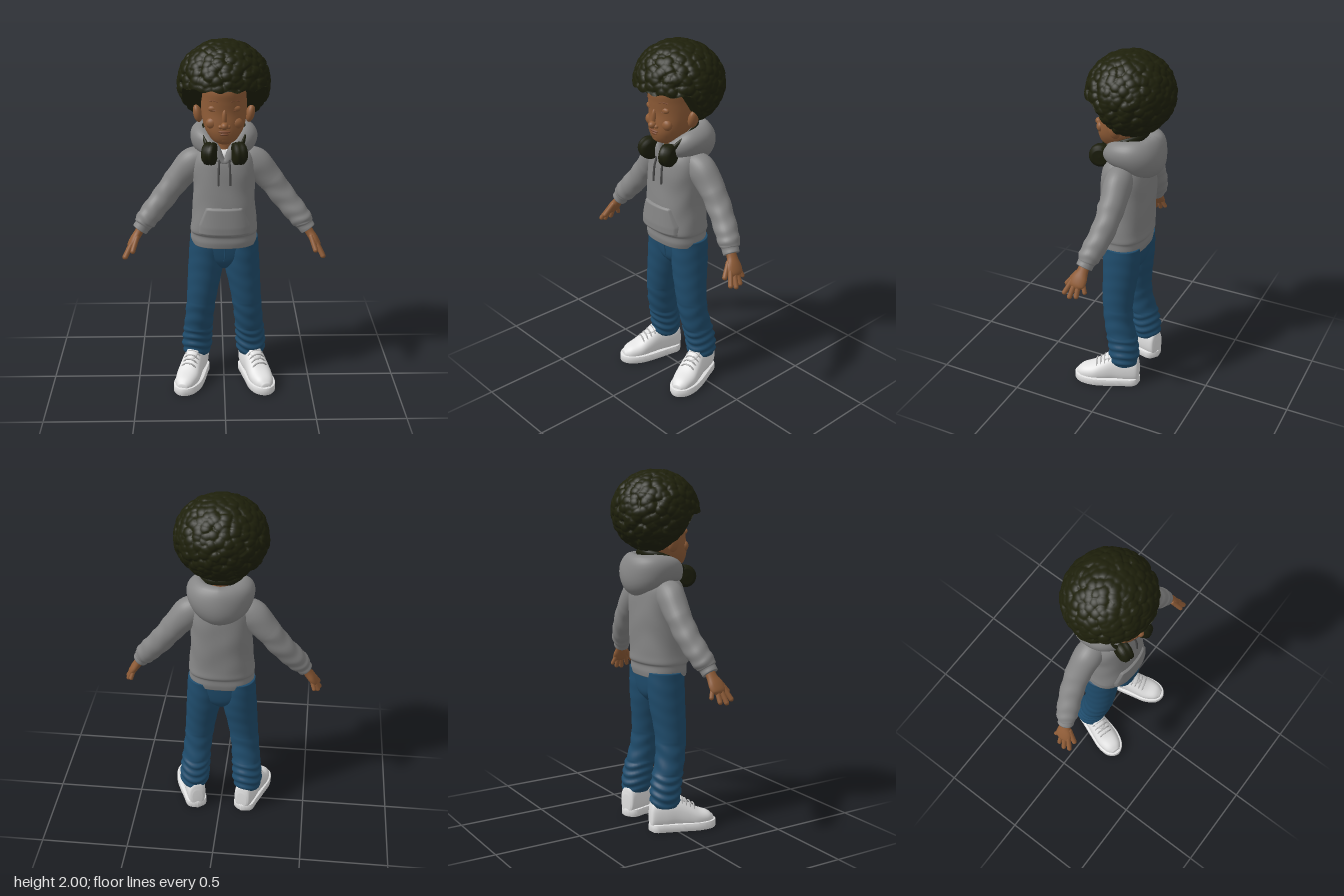
import * as THREE from 'three';
import { mergeVertices, toCreasedNormals } from 'three/addons/utils/BufferGeometryUtils.js';

const mat = (name, color) => Object.assign(new THREE.MeshStandardMaterial({ color }), { name });
const V = (x, y, z) => new THREE.Vector3(x, y, z);
const UP = V(0, 1, 0), FRONT = V(0, 0, 1);

// Skin a path of rings [x, y, z, ru, rv]; u lies along ref, v across it.
function loft(rings, { ref = FRONT, axis = null, bump = null, n = 2, seg = 32, steps = 40, closed = false } = {}) {
  const path = new THREE.CatmullRomCurve3(rings.map(r => V(r[0], r[1], r[2])), closed, 'catmullrom');
  const size = new THREE.CatmullRomCurve3(rings.map(r => V(r[3], r[4], 0)), closed, 'catmullrom');
  const pos = [], idx = [];
  const pw = c => Math.sign(c) * Math.abs(c) ** (2 / n);
  const rows = closed ? steps : steps + 1;
  for (let i = 0; i < rows; i++) {
    const t = i / steps, c = path.getPoint(t), s = size.getPoint(t);
    const d = axis || path.getTangent(t);
    const u = ref.clone().addScaledVector(d, -ref.dot(d)).normalize();
    const v = d.clone().cross(u);
    for (let j = 0; j < seg; j++) {
      const a = j / seg * Math.PI * 2, k = bump ? bump(c, a, t) : 1;
      const p = c.clone().addScaledVector(u, s.x * k * pw(Math.cos(a))).addScaledVector(v, s.y * k * pw(Math.sin(a)));
      pos.push(p.x, p.y, p.z);
    }
  }
  for (let i = 0; i < steps; i++) for (let j = 0; j < seg; j++) {
    const i2 = (i + 1) % rows, j2 = (j + 1) % seg;
    const a = i * seg + j, b = i * seg + j2, c = i2 * seg + j, d = i2 * seg + j2;
    idx.push(a, b, c, b, d, c);
  }
  if (!closed) {
    const a = path.getPoint(0), b = path.getPoint(1), k = rows * seg, e = (rows - 1) * seg;
    pos.push(a.x, a.y, a.z, b.x, b.y, b.z);
    for (let j = 0; j < seg; j++) {
      const j2 = (j + 1) % seg;
      idx.push(k, j2, j, k + 1, e + j, e + j2);
    }
  }
  const g = new THREE.BufferGeometry();
  g.setAttribute('position', new THREE.Float32BufferAttribute(pos, 3));
  g.setIndex(idx);
  g.computeVertexNormals();
  return g;
}

// Rings given as [y, cz, rz, rx] for upright bodies
const upright = (list, x = 0) => list.map(([y, cz, rz, rx]) => [x, y, cz, rz, rx]);
const tube = (pts, r) => new THREE.TubeGeometry(new THREE.CatmullRomCurve3(pts.map(p => V(...p))), 20, r, 8);
const mirrorPath = half => [...half, ...half.slice(0, -1).reverse().map(p => [-p[0], ...p.slice(1)])];

// Afro: a ball of rounded curls, lifted clear of the face
function hairGeometry() {
  let seed = 7;
  const rnd = () => (seed = (seed * 16807) % 2147483647) / 2147483647;
  const curls = [];
  for (let i = 0; i < 420; i++) {
    const y = 1 - 2 * (i + 0.5) / 420, a = i * 2.39996 + rnd() * 0.3, r = Math.sqrt(1 - y * y);
    curls.push([V(r * Math.cos(a), y + (rnd() - 0.5) * 0.1, r * Math.sin(a)).normalize(), rnd() * 0.025]);
  }
  let g = new THREE.IcosahedronGeometry(1, 42);
  g.deleteAttribute('uv'); g.deleteAttribute('normal');
  g = mergeVertices(g, 1e-5);
  const p = g.attributes.position, v = V();
  for (let i = 0; i < p.count; i++) {
    v.fromBufferAttribute(p, i);
    let best = 9, lift = 0;
    for (const [c, h] of curls) { const d = c.distanceToSquared(v); if (d < best) { best = d; lift = h; } }
    const k = 0.94 + lift + 0.06 * Math.sqrt(Math.max(0, 1 - best / 0.02));
    const x = v.x * k * 0.25, z = v.z * k * 0.24 - 0.008;
    const low = z > 0.1 ? 1.77 : z > 0.03 ? 1.66 + (z - 0.03) * 1.57 : 1.66 + (z - 0.03) * 1.4;
    p.setXYZ(i, x, Math.max(1.775 + v.y * k * 0.225, low + 0.006 * Math.sin(x * 70)), z);
  }
  g.computeVertexNormals();
  return g;
}

export function createModel() {
  const M = {
    skin: mat('brown skin', 0x8f5c37), hair: mat('black hair', 0x1e200b), grey: mat('grey fleece', 0x868686),
    cord: mat('dark grey cord', 0x4c4c4c), denim: mat('blue denim', 0x1f4c6c), white: mat('white leather', 0xe2e2e2),
    lace: mat('pale grey lace', 0xb4b4b4), black: mat('headphone black', 0x1b1d0c), lip: mat('lip brown', 0x7c4a30),
  };
  const model = new THREE.Group();
  const add = (name, geo, m, parent = model) => {
    const o = new THREE.Mesh(geo, m); o.name = name; parent.add(o); return o;
  };
  const ball = (name, m, p, r, parent) => {
    const o = add(name, new THREE.SphereGeometry(1, 24, 16), m, parent);
    o.position.set(...p); o.scale.set(...r); return o;
  };

  // Head and neck
  add('head', loft(upright([[1.465, 0.095, 0.03, 0.03], [1.485, 0.082, 0.076, 0.065], [1.53, 0.058, 0.116, 0.098],
    [1.58, 0.038, 0.135, 0.116], [1.64, 0.02, 0.147, 0.123], [1.7, 0.008, 0.164, 0.124], [1.76, 0, 0.175, 0.125],
    [1.83, 0, 0.14, 0.11]]), { axis: UP, n: 2.2 }), M.skin);
  add('neck', loft(upright([[1.36, 0.02, 0.07, 0.065], [1.43, 0.02, 0.062, 0.06], [1.53, 0.02, 0.065, 0.065]]), { axis: UP }), M.skin);
  ball('nose', M.skin, [0, 1.58, 0.178], [0.021, 0.02, 0.026]);
  ball('noseBridge', M.skin, [0, 1.62, 0.165], [0.014, 0.045, 0.018]);
  ball('upperLip', M.lip, [0, 1.546, 0.169], [0.034, 0.008, 0.013]);
  ball('lowerLip', M.lip, [0, 1.532, 0.165], [0.028, 0.009, 0.014]);
  ball('chin', M.skin, [0, 1.503, 0.142], [0.036, 0.026, 0.024]);
  add('hair', hairGeometry(), M.hair);

  // Hoodie body with a gathered hem
  const body = [[0.87, 0.015, 0.128, 0.178], [0.9, 0.015, 0.133, 0.184], [0.935, 0.015, 0.133, 0.183], [0.955, 0.017, 0.147, 0.187],
    [1.0, 0.018, 0.148, 0.182], [1.1, 0.012, 0.147, 0.173], [1.2, 0.005, 0.144, 0.17], [1.3, 0.002, 0.138, 0.172],
    [1.37, 0, 0.126, 0.158], [1.41, -0.005, 0.103, 0.125], [1.435, -0.01, 0.06, 0.06]];
  add('hoodieBody', loft(upright(body), { axis: UP, n: 2.4, seg: 48, steps: 80,
    bump: (c, a) => 1 + 0.008 * Math.sin(c.y * 34 + 2 * Math.sin(a * 3)) }), M.grey);
  const chest = (x, y) => {
    const i = Math.max(1, body.findIndex(b => b[0] >= y)), a = body[i - 1], b = body[i], t = (y - a[0]) / (b[0] - a[0]);
    const [cz, rz, rx] = [1, 2, 3].map(k => a[k] + (b[k] - a[k]) * t);
    return cz + rz * Math.max(0, 1 - Math.abs(x / rx) ** 2.4) ** (1 / 2.4);
  };

  // Front pouch pocket, laid over the body with its rim tucked in
  const pocket = new THREE.PlaneGeometry(2, 1, 28, 20), pp = pocket.attributes.position;
  for (let i = 0; i < pp.count; i++) {
    const u = pp.getX(i), w = pp.getY(i) + 0.5, y = 0.95 + w * 0.165;
    const x = u * (w < 0.35 ? 0.145 : 0.145 - (w - 0.35) / 0.65 * 0.045);
    const rim = Math.abs(u) > 0.99 || w < 0.01 || w > 0.99;
    pp.setXYZ(i, x, y, chest(x, y) + (rim ? -0.008 : 0.012));
  }
  pocket.computeVertexNormals();
  add('pouchPocket', pocket, M.grey);

  // Hood lying on the shoulders, and shirt collar
  const hood = mirrorPath([[0, 1.365, 0.112, 0.02, 0.02], [0.06, 1.425, 0.095, 0.045, 0.032], [0.118, 1.463, 0.03, 0.066, 0.05],
    [0.122, 1.467, -0.055, 0.082, 0.06], [0.08, 1.45, -0.115, 0.102, 0.064], [0, 1.435, -0.14, 0.115, 0.066]]).slice(0, -1);
  add('hood', loft(hood, { ref: UP, closed: true, steps: 80, seg: 28,
    bump: (c, a) => 1 + 0.025 * Math.sin(a * 4 + c.x * 22) }), M.grey);
  add('shirtCollar', loft(upright([[1.35, 0.032, 0.085, 0.07], [1.4, 0.032, 0.083, 0.066], [1.425, 0.03, 0.074, 0.062]]), { axis: UP }), M.white);

  // Headphones hung around the neck
  const phones = new THREE.Group(); phones.name = 'headphones'; model.add(phones);
  add('headband', loft(mirrorPath([[0.09, 1.45, 0.125, 0.014, 0.01], [0.112, 1.495, 0.065, 0.016, 0.01],
    [0.105, 1.535, -0.02, 0.018, 0.011], [0.06, 1.55, -0.08, 0.02, 0.012], [0, 1.555, -0.095, 0.02, 0.012]]), { ref: UP, seg: 14, steps: 60 }), M.black, phones);
  const cupProfile = [[0, -0.034], [0.035, -0.036], [0.058, -0.028], [0.062, -0.012], [0.055, -0.004], [0.063, 0.004],
    [0.06, 0.022], [0.045, 0.036], [0.038, 0.032], [0, 0.036]].map(p => new THREE.Vector2(...p));

  // Jeans seat
  add('jeansSeat', loft(upright([[0.72, 0, 0.06, 0.04], [0.76, 0, 0.09, 0.11], [0.81, 0, 0.102, 0.175], [0.9, 0, 0.11, 0.187]]), { axis: UP, n: 2.3 }), M.denim);
  add('flySeam', tube([[0, 0.88, 0.109], [0.004, 0.82, 0.104], [0, 0.775, 0.095]], 0.004), M.denim);

  // Shoe sole outline, toe towards +z
  const outline = new THREE.Shape();
  outline.setFromPoints(new THREE.SplineCurve([[0, 0.1], [0.05, 0.075], [0.062, 0], [0.074, -0.1], [0.074, -0.18], [0.05, -0.25],
    [0, -0.28], [-0.05, -0.25], [-0.07, -0.18], [-0.066, -0.1], [-0.058, 0], [-0.05, 0.075], [0, 0.1]].map(p => new THREE.Vector2(...p))).getPoints(60).slice(0, -1));
  const sole = toCreasedNormals(new THREE.ExtrudeGeometry(outline, { depth: 0.034, bevelSize: 0.006, bevelThickness: 0.006, bevelSegments: 2 }).rotateX(-Math.PI / 2), 0.7);

  for (const s of [1, -1]) {
    const side = s > 0 ? 'left' : 'right';
    const X = list => list.map(([x, ...r]) => [x * s, ...r]);

    // Ears, closed lids, lashes and brows
    ball(side + 'Ear', M.skin, [0.142 * s, 1.61, 0.02], [0.024, 0.05, 0.032]).rotation.z = -0.2 * s;
    ball(side + 'Eyelid', M.skin, [0.056 * s, 1.665, 0.142], [0.03, 0.018, 0.016]);
    ball(side + 'Nostril', M.skin, [0.02 * s, 1.573, 0.168], [0.014, 0.012, 0.016]);
    ball(side + 'Cheek', M.skin, [0.062 * s, 1.585, 0.135], [0.036, 0.032, 0.026]);
    add(side + 'Lash', tube(X([[0.034, 1.66, 0.157], [0.056, 1.656, 0.157], [0.08, 1.661, 0.143]]), 0.0018), M.lip);
    add(side + 'Brow', tube(X([[0.032, 1.704, 0.166], [0.056, 1.711, 0.157], [0.08, 1.705, 0.142]]), 0.003), M.lip);

    // Sleeve with soft folds and a cuff
    add(side + 'Sleeve', loft(X([[0.08, 1.365, -0.01, 0.06, 0.05], [0.165, 1.325, -0.015, 0.076, 0.085], [0.25, 1.235, -0.02, 0.071, 0.073],
      [0.33, 1.13, -0.01, 0.066, 0.067], [0.4, 1.045, 0.013, 0.063, 0.063], [0.44, 0.995, 0.03, 0.058, 0.058],
      [0.452, 0.975, 0.036, 0.047, 0.047], [0.47, 0.95, 0.042, 0.045, 0.045]]), { steps: 70,
      bump: (c, a, t) => 1 + (t > 0.3 && t < 0.85 ? 0.03 : 0.008) * Math.sin(t * 48 + 1.5 * Math.sin(a * 2)) }), M.grey);

    // Hand with spread fingers
    const hand = new THREE.Group(); hand.name = side + 'Hand'; model.add(hand);
    add('palm', loft(X([[0.455, 0.97, 0.04, 0.028, 0.024], [0.48, 0.93, 0.046, 0.032, 0.024], [0.503, 0.895, 0.055, 0.046, 0.024],
      [0.522, 0.865, 0.062, 0.046, 0.02], [0.53, 0.85, 0.064, 0.03, 0.012]]), { seg: 20, steps: 20 }), M.skin, hand);
    [['thumb', [0.485, 0.915, 0.08], [0.507, 0.852, 0.126], 0.014], ['index', [0.515, 0.88, 0.092], [0.548, 0.817, 0.122], 0.0135],
      ['middle', [0.522, 0.87, 0.072], [0.555, 0.803, 0.088], 0.014], ['ring', [0.52, 0.868, 0.05], [0.548, 0.808, 0.052], 0.0135],
      ['little', [0.51, 0.878, 0.03], [0.526, 0.832, 0.012], 0.012]].forEach(([name, a, b, r]) => {
      const p = V(a[0] * s, a[1], a[2]), q = V(b[0] * s, b[1], b[2]), d = q.clone().sub(p);
      const f = add(name, new THREE.CapsuleGeometry(r, d.length(), 6, 12), M.skin, hand);
      f.position.copy(p).addScaledVector(d, 0.5);
      f.quaternion.setFromUnitVectors(UP, d.normalize());
    });

    // Hoodie drawstring
    add(side + 'Drawstring', tube(X([[0.026, 1.385, 0.125], [0.03, 1.33, 0.143], [0.032, 1.24, 0.151]]), 0.006), M.cord);

    // Ear cup, with a pale yoke
    const cup = add(side + 'EarCup', new THREE.LatheGeometry(cupProfile, 32), M.black, phones);
    cup.position.set(0.077 * s, 1.418, 0.137);
    cup.rotation.set(0, 0.3 * s, -Math.PI / 2 * s, 'YXZ');
    add(side + 'Yoke', tube(X([[0.094, 1.482, 0.09], [0.102, 1.5, 0.06], [0.1, 1.515, 0.03]]), 0.01), M.lace, phones);

    // Trouser leg, bunched at the ankle
    add(side + 'TrouserLeg', loft(X([[0.16, 0.145, -0.042, 0.078, 0.074], [0.158, 0.19, -0.04, 0.087, 0.085], [0.155, 0.25, -0.034, 0.087, 0.085],
      [0.15, 0.31, -0.022, 0.088, 0.083], [0.142, 0.4, 0, 0.085, 0.082], [0.131, 0.5, 0.012, 0.087, 0.084], [0.119, 0.6, 0.012, 0.094, 0.09],
      [0.106, 0.7, 0.006, 0.102, 0.098], [0.1, 0.8, 0.002, 0.107, 0.098], [0.096, 0.9, 0, 0.106, 0.095]]), { axis: UP, steps: 110,
      bump: (c, a) => 1 + (c.y < 0.33 ? 0.05 : c.y < 0.5 ? 0.025 : 0.007) * Math.sin(c.y * (c.y < 0.33 ? 125 : 70) + 1.8 * Math.sin(a * 2 + s)) }), M.denim);

    // Shoe, toed out
    const shoe = new THREE.Group(); shoe.name = side + 'Shoe'; model.add(shoe);
    shoe.position.set(0.162 * s, 0, -0.03); shoe.rotation.y = 0.3 * s;
    add('sole', sole, M.white, shoe).position.y = 0.006;
    add('upper', loft([[0, 0.08, -0.1, 0.05, 0.03], [0, 0.095, -0.085, 0.085, 0.05], [0, 0.1, -0.02, 0.097, 0.058], [0, 0.1, 0.05, 0.092, 0.061],
      [0, 0.08, 0.115, 0.075, 0.066], [0, 0.06, 0.175, 0.055, 0.067], [0, 0.05, 0.235, 0.042, 0.052], [0, 0.045, 0.268, 0.02, 0.025]],
      { ref: UP, axis: FRONT, n: 2.3, seg: 36 }), M.white, shoe);
    add('tongue', new THREE.SphereGeometry(1, 20, 14).scale(0.036, 0.016, 0.06).rotateX(0.55).translate(0, 0.178, 0.07), M.white, shoe);
    for (let i = 0; i < 4; i++) {
      const z = 0.075 + i * 0.024, y = 0.182 - i * 0.015;
      add('lace', tube([[-0.045, y - 0.024, z], [-0.02, y + 0.002, z + 0.004], [0.02, y + 0.002, z + 0.004], [0.045, y - 0.024, z]], 0.0045), M.lace, shoe);
    }
  }
  return model;
}
